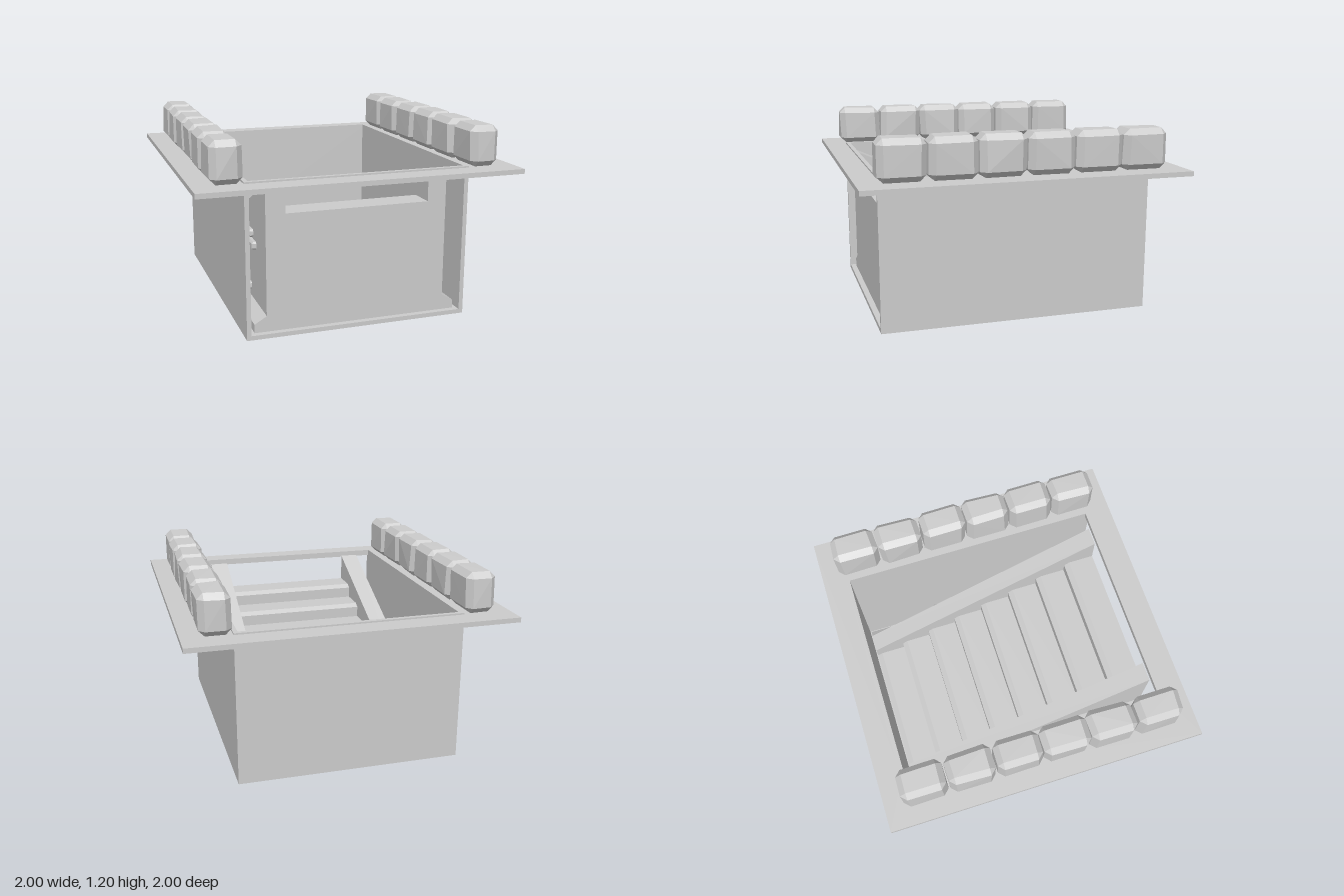
import * as THREE from 'three';
import { ConvexGeometry } from 'three/addons/geometries/ConvexGeometry.js';

const stone = new THREE.MeshStandardMaterial({ color: 0xcccccc });
stone.name = 'paleStone';

let seed = 7;
function rand() {
  seed = (seed * 16807) % 2147483647;
  return seed / 2147483647 - 0.5;
}

function add(parent, name, geometry, x = 0, y = 0, z = 0) {
  const mesh = new THREE.Mesh(geometry, stone);
  mesh.name = name;
  mesh.position.set(x, y, z);
  parent.add(mesh);
  return mesh;
}

// Box given by its limits on each axis
function slab(parent, name, x0, x1, y0, y1, z0, z1) {
  return add(parent, name, new THREE.BoxGeometry(x1 - x0, y1 - y0, z1 - z0),
    (x0 + x1) / 2, (y0 + y1) / 2, (z0 + z1) / 2);
}

// Rough block with chamfered, slightly uneven corners
function roughBlock(w, h, d, chamfer, wobble) {
  const points = [];
  for (const sx of [-1, 1]) for (const sy of [-1, 1]) for (const sz of [-1, 1]) {
    const x = w / 2 - Math.abs(rand()) * wobble;
    const y = h / 2 - (sy > 0 ? Math.abs(rand()) * wobble * 0.5 : 0);
    const z = d / 2 - Math.abs(rand()) * wobble;
    const c = chamfer;
    points.push(
      new THREE.Vector3(sx * x, sy * (y - c), sz * (z - c)),
      new THREE.Vector3(sx * (x - c), sy * y, sz * (z - c)),
      new THREE.Vector3(sx * (x - c), sy * (y - c), sz * z));
  }
  return new ConvexGeometry(points);
}

// Side profile of [z, y] points extruded across x, centred on x = 0
function sideExtrude(points, width) {
  const shape = new THREE.Shape(points.map(([z, y]) => new THREE.Vector2(z, y)));
  const g = new THREE.ExtrudeGeometry(shape, { depth: width, bevelEnabled: false });
  g.rotateY(-Math.PI / 2);
  g.translate(width / 2, 0, 0);
  return g;
}

export function createModel() {
  const model = new THREE.Group();
  model.name = 'sunkenStairwell';
  const X = 0.7, Z = 0.857, T = 0.027;

  // Ground plate with the stairwell opening
  const plate = new THREE.Shape([[-1, -1], [1, -1], [1, 1], [-1, 1]].map(p => new THREE.Vector2(...p)));
  plate.holes.push(new THREE.Path(
    [[-X, -Z], [-X, Z], [X, Z], [X, -Z]].map(p => new THREE.Vector2(p[0] * 0.99, p[1] * 0.99))));
  const plateGeo = new THREE.ExtrudeGeometry(plate, { depth: 0.03, bevelEnabled: false });
  plateGeo.rotateX(-Math.PI / 2);
  add(model, 'groundPlate', plateGeo, 0, 0.91, 0);

  // Pit lining, open at the front
  slab(model, 'pitFloor', -X, X, 0, T, -Z, Z);
  slab(model, 'pitBackWall', -X, X, T, 0.95, -Z, -Z + T);
  slab(model, 'pitLeftWall', X - T, X, T, 0.95, -Z + T, Z);
  slab(model, 'pitRightWall', -X, -X + T, T, 0.95, -Z + T, Z);
  slab(model, 'frontRim', -X + T, X - T, 0.91, 0.95, Z - T, Z);

  // Stairs climbing towards the front, with worn nosings
  const steps = 8, run = 0.205, rise = 0.0925, nose = 0.035;
  const profile = [[0.82, T], [0.82, rise * steps]];
  for (let i = steps - 1; i >= 0; i--) {
    const z = -0.82 + i * run, y = rise * (i + 1);
    profile.push([z + nose, y], [z, y - nose * 0.6], [z, Math.max(T, rise * i)]);
  }
  add(model, 'steps', sideExtrude(profile.reverse(), 0.9));

  // Sloping side walls, skirtings and loose bricks on both sides
  const bricks = [
    [0.55, 0.35, 0.36], [0.49, 0.42, 0.36], [0.335, -0.18, 0.3],
    [0.27, -0.2, 0.32], [0.195, 0.3, 0.34]];
  for (const side of [1, -1]) {
    const label = side > 0 ? 'left' : 'right';
    add(model, label + 'Stringer',
      sideExtrude([[-0.82, T], [0.82, T], [0.82, 0.92], [-0.82, 0.18]], 0.12), side * 0.51);

    const skirt = new THREE.Shape(
      [[0.57, T], [0.645, T], [0.645, 0.08], [0.57, 0.125]].map(([x, y]) => new THREE.Vector2(side * x, y)));
    add(model, label + 'Skirting',
      new THREE.ExtrudeGeometry(skirt, { depth: 1.64, bevelEnabled: false }), 0, 0, -0.82);

    for (const [y, z, length] of bricks)
      add(model, label + 'Brick', roughBlock(0.06, 0.048, length, 0.01, 0.006), side * 0.57, y, z);

    // Row of kerb stones along the opening
    for (let i = 0; i < 6; i++)
      add(model, label + 'KerbStone', roughBlock(0.2, 0.255, 0.297, 0.036, 0.022),
        side * 0.8, 1.07, -0.738 + i * 0.296);
  }
  return model;
}
